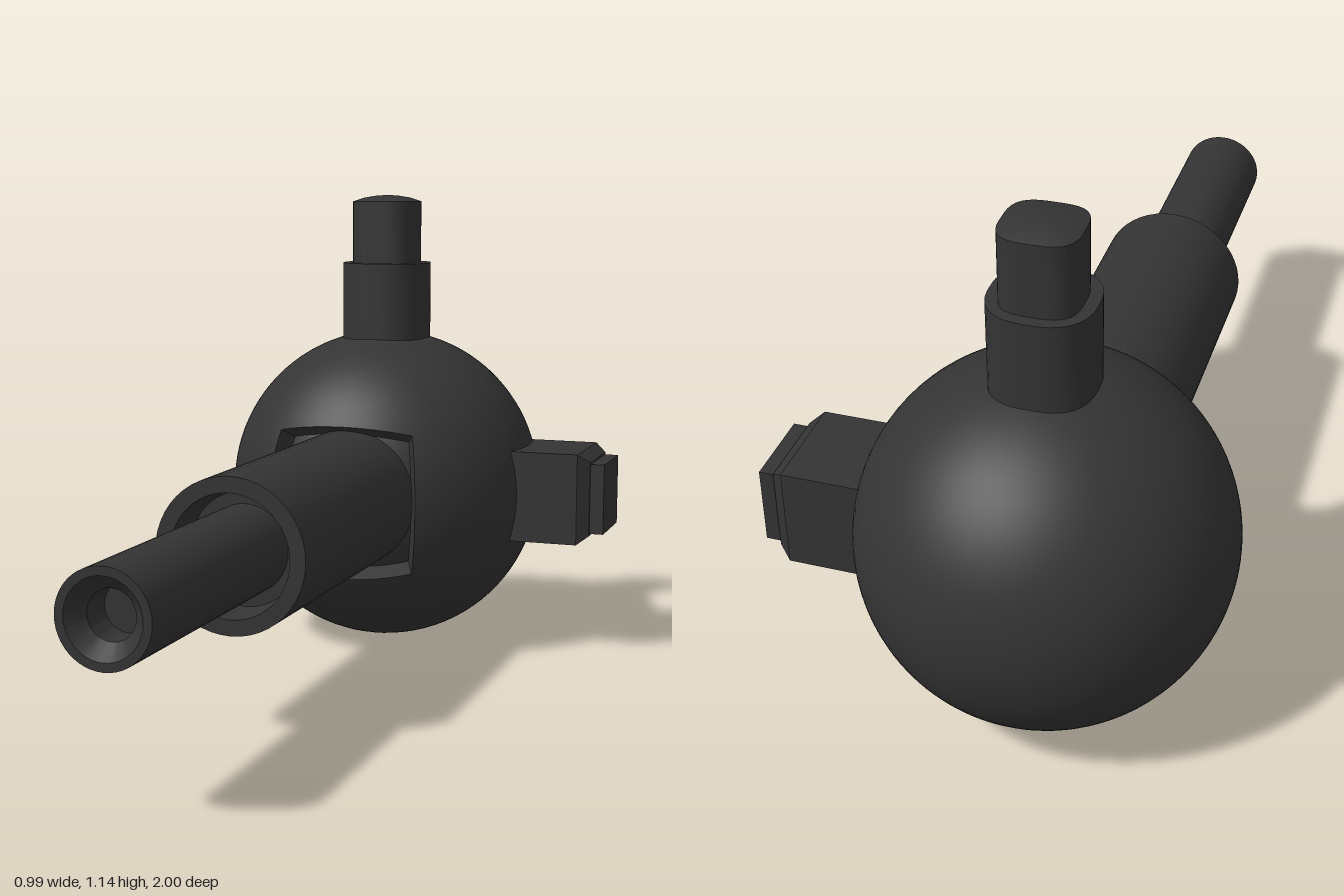
import * as THREE from 'three';
import { toCreasedNormals } from 'three/addons/utils/BufferGeometryUtils.js';

const R = 0.395, RI = 0.345;        // ball radius, sunken panel radius
const K = 0.54;                     // tangent of the panel's half angle

// Surface of the ball around the +z axis; f(angle, t) returns [theta, radius]
function ballSurface(f, rows) {
  const cols = 96, pos = [], idx = [];
  for (let j = 0; j <= rows; j++) {
    for (let i = 0; i <= cols; i++) {
      const a = (i / cols) * Math.PI * 2;
      const [th, r] = f(a, j / rows);
      pos.push(r * Math.sin(th) * Math.cos(a), r * Math.sin(th) * Math.sin(a), r * Math.cos(th));
    }
  }
  const w = cols + 1;
  for (let j = 0; j < rows; j++) {
    for (let i = 0; i < cols; i++) {
      const a = j * w + i, b = a + 1, c = a + w, d = c + 1;
      idx.push(a, c, b, b, c, d);
    }
  }
  const g = new THREE.BufferGeometry();
  g.setAttribute('position', new THREE.Float32BufferAttribute(pos, 3));
  g.setIndex(idx);
  g.computeVertexNormals();
  return g;
}

// Spherical parts keep exact radial normals
function radialNormals(g) {
  const p = g.attributes.position, n = g.attributes.normal, v = new THREE.Vector3();
  for (let i = 0; i < p.count; i++) {
    v.fromBufferAttribute(p, i).normalize();
    n.setXYZ(i, v.x, v.y, v.z);
  }
  return g;
}

// Lathe from [radius, height] pairs, with sharp edges kept
function turned(points, sides, squareness = 2) {
  const g = new THREE.LatheGeometry(points.map(([r, y]) => new THREE.Vector2(r, y)), sides);
  const p = g.attributes.position;
  if (squareness !== 2) {
    for (let i = 0; i < p.count; i++) {
      const x = p.getX(i), z = p.getZ(i), r = Math.hypot(x, z);
      if (r < 1e-6) continue;
      const s = Math.pow(Math.abs(x / r) ** squareness + Math.abs(z / r) ** squareness, -1 / squareness);
      p.setX(i, x * s);
      p.setZ(i, z * s);
    }
  }
  return toCreasedNormals(g, 0.6);
}

export function createModel() {
  const model = new THREE.Group();
  const metal = new THREE.MeshStandardMaterial({ color: 0x343434 });
  metal.name = 'dark grey metal';

  const turret = new THREE.Group();
  turret.name = 'turret';
  turret.position.set(-0.1, R, -0.605);
  model.add(turret);
  const add = (name, geometry) => {
    const m = new THREE.Mesh(geometry, metal);
    m.name = name;
    turret.add(m);
    return m;
  };

  // Ball with a square opening at the front
  const edge = a => Math.atan(K / Math.max(Math.abs(Math.cos(a)), Math.abs(Math.sin(a))));
  add('ballShell', radialNormals(ballSurface((a, t) => [edge(a) + (Math.PI - edge(a)) * t, R], 48)));
  add('openingWall', toCreasedNormals(ballSurface((a, t) => [edge(a), RI + (R - RI) * t], 1), 0.6));
  add('sunkenPanel', radialNormals(ballSurface((a, t) => [edge(a) * t, RI], 10)));

  // Long front barrel: sleeve with a hollow mouth, inner tube with a bore
  const sleeve = turned([[0.17, 0.2], [0.17, 1.035], [0.135, 1.035], [0.125, 0.95], [0.09, 0.95]], 48);
  add('barrelSleeve', sleeve.rotateX(Math.PI / 2)).position.y = 0.005;
  const tube = turned([[0.098, 0.9], [0.098, 1.605], [0.08, 1.605], [0.05, 1.57], [0.05, 1.5], [0, 1.5]], 48);
  add('barrelTube', tube.rotateX(Math.PI / 2)).position.y = 0.005;

  // Upright post with a domed cap
  add('postBase', turned([[0.108, 0.3], [0.108, 0.57], [0, 0.57]], 48, 2.5));
  add('postCap', turned([[0.081, 0.55], [0.081, 0.725], [0.055, 0.734], [0.028, 0.739], [0, 0.741]], 48, 3.2));

  // Square side sight with a bevelled end and a plate
  const q = Math.SQRT2;
  const block = turned([[0.113 * q, 0.3], [0.113 * q, 0.53], [0.092 * q, 0.558], [0, 0.558]], 4);
  const plate = turned([[0.087 * q, 0.54], [0.087 * q, 0.592], [0, 0.592]], 4);
  for (const [name, g] of [['sightBlock', block], ['sightPlate', plate]]) {
    add(name, g.rotateY(Math.PI / 4).rotateZ(-Math.PI / 2));
  }
  return model;
}
